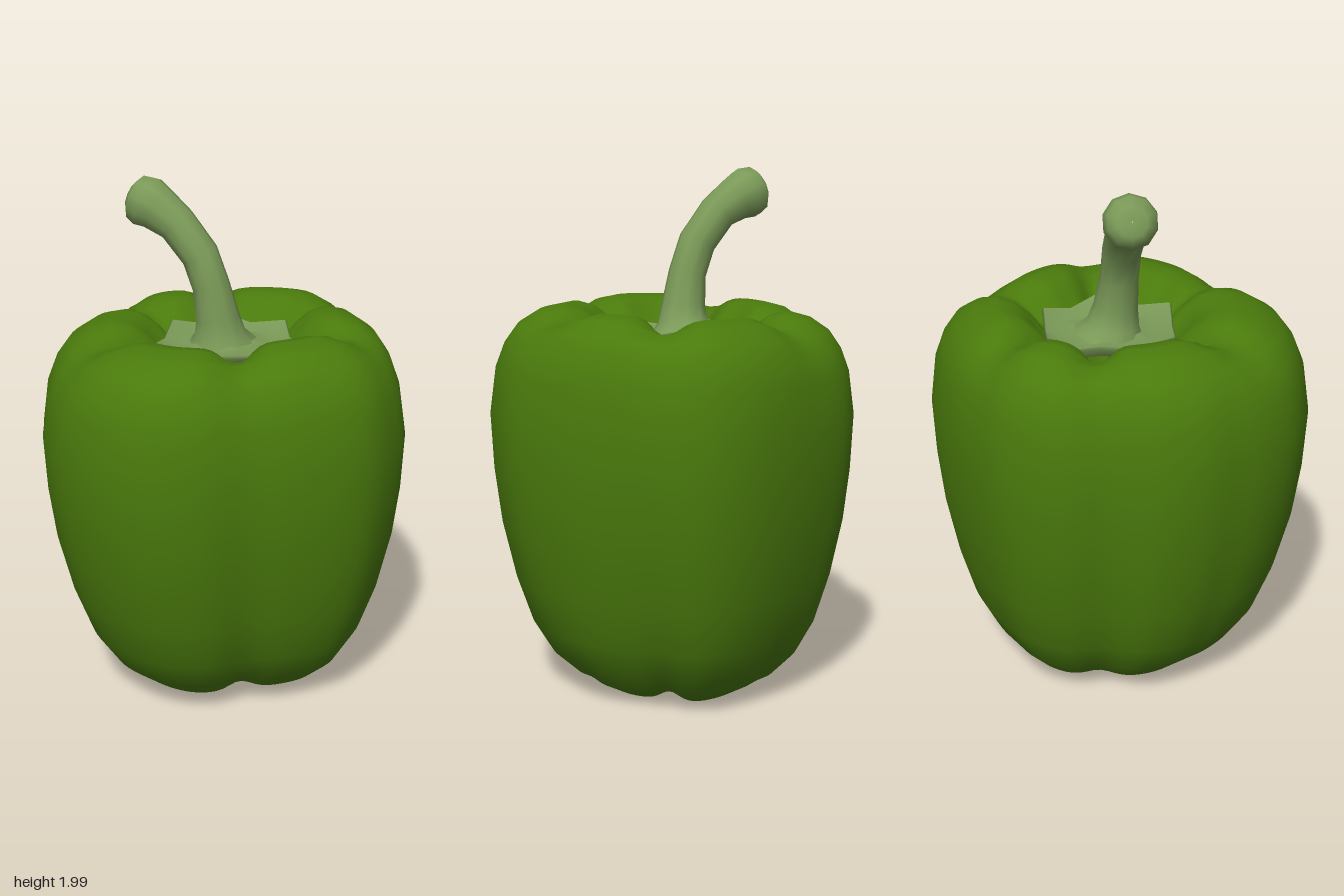
import * as THREE from 'three';

const SEGMENTS = 90;

// Closed rings of points, joined bottom to top into one smooth skin
function loft(rings) {
  const n = rings[0].length, index = [];
  for (let i = 0; i < rings.length - 1; i++) {
    for (let j = 0; j < n; j++) {
      const a = i * n + j, b = i * n + (j + 1) % n;
      index.push(a, a + n, b, b, a + n, b + n);
    }
  }
  const g = new THREE.BufferGeometry().setFromPoints(rings.flat());
  g.setIndex(index);
  g.computeVertexNormals();
  return g;
}

// Calyx corners (x, z); each one points into a groove of the fruit
const CENTRE = [-0.04, -0.05];
const CORNERS = [[0.23, -0.13], [0.18, 0.17], [-0.16, 0.23], [-0.3, -0.03], [-0.24, -0.24], [0.05, -0.31]];
const GROOVES = CORNERS.map(([x, z]) => Math.atan2(z - CENTRE[1], x - CENTRE[0]));
const BOTTOM_WEIGHT = [0.5, 0.9, 0.15, 0.4, 0.15, 0.8];

// Strength of the nearest groove at an angle
function groove(angle, top) {
  let best = 0;
  GROOVES.forEach((g, k) => {
    const d = Math.atan2(Math.sin(angle - g), Math.cos(angle - g));
    const weight = top ? 1 : BOTTOM_WEIGHT[k];
    best = Math.max(best, weight * Math.exp(-((d / 0.18) ** 2)));
  });
  return best;
}

// Widest outline of the fruit (x, z), clockwise seen from above
const OUTLINE = [
  [0.69, 0], [0.65, 0.12], [0.55, 0.28], [0.44, 0.41], [0.34, 0.56], [0.18, 0.68], [-0.02, 0.72],
  [-0.23, 0.69], [-0.39, 0.6], [-0.49, 0.5], [-0.58, 0.4], [-0.65, 0.24], [-0.65, 0.06], [-0.69, -0.12],
  [-0.63, -0.33], [-0.52, -0.46], [-0.32, -0.62], [-0.17, -0.7], [-0.03, -0.73], [0.1, -0.71],
  [0.31, -0.58], [0.49, -0.45], [0.64, -0.27], [0.68, -0.14],
];

// Rings of the fruit: scale, height, groove depth inward, groove shift in y
const PROFILE = [
  [0.005, 0.1, 0, 0], [0.1, 0.075, 0, 0.02], [0.2, 0.03, 0, 0.05], [0.32, 0.008, 0.02, 0.05],
  [0.44, 0.018, 0.06, 0.04], [0.56, 0.06, 0.09, 0.02], [0.69, 0.145, 0.07, 0], [0.795, 0.27, 0.035, 0],
  [0.88, 0.45, 0.015, 0], [0.95, 0.67, 0.005, 0], [0.985, 0.87, 0, 0], [1, 1.08, 0, 0],
  [0.968, 1.25, 0.01, 0], [0.92, 1.34, 0.025, 0], [0.85, 1.41, 0.045, -0.01], [0.74, 1.46, 0.05, -0.035],
  [0.62, 1.48, 0.03, -0.065], [0.52, 1.468, 0, -0.085], [0.43, 1.425, 0, -0.085], [0.36, 1.36, 0, -0.04],
  [0.25, 1.31, 0, 0], [0.005, 1.3, 0, 0],
];

function fruitGeometry() {
  const curve = new THREE.CatmullRomCurve3(OUTLINE.map(([x, z]) => new THREE.Vector3(x, 0, z)), true);
  const outline = curve.getSpacedPoints(SEGMENTS).slice(0, SEGMENTS);
  return loft(PROFILE.map(([s, y, depth, dy]) => {
    const top = y > 1;
    const cx = top ? CENTRE[0] : -0.03, cz = top ? CENTRE[1] : -0.09;
    // the shoulders rise gently towards +x
    const tilt = top ? 0.03 * (y - 1) / 0.48 : 0;
    return outline.map((p) => {
      const k = groove(Math.atan2(p.z - CENTRE[1], p.x - CENTRE[0]), top);
      const r = s * (1 - depth * k);
      const x = p.x * r + cx * (1 - s);
      return new THREE.Vector3(x, y + dy * k + tilt * x, p.z * r + cz * (1 - s));
    });
  }));
}

// Leafy six-cornered collar, cupped at the corners and rising to the stem
function calyxGeometry() {
  const edge = [];
  CORNERS.forEach(([x, z], i) => {
    const [nx, nz] = CORNERS[(i + 1) % CORNERS.length];
    edge.push([x, z, 0.03], [(x + nx) / 2, (z + nz) / 2, 0]);
  });
  const ring = (s, y, lift) => edge.map(([x, z, up]) => new THREE.Vector3(
    CENTRE[0] + (x - CENTRE[0]) * s, y + up * lift, CENTRE[1] + (z - CENTRE[1]) * s));
  return loft([ring(0.9, 1.34, 1), ring(1, 1.375, 1), ring(0.97, 1.383, 1),
    ring(0.7, 1.36, 0.4), ring(0.4, 1.385, 0), ring(0.01, 1.42, 0)]);
}

// Stem stations: x, y, z, radius
const STEM = [
  [-0.05, 1.36, -0.03, 0.14], [-0.05, 1.41, -0.02, 0.1], [-0.052, 1.48, -0.01, 0.084],
  [-0.07, 1.6, 0.005, 0.072], [-0.11, 1.715, 0.02, 0.072], [-0.195, 1.825, 0.05, 0.074],
  [-0.27, 1.875, 0.07, 0.087], [-0.315, 1.897, 0.08, 0.1], [-0.355, 1.912, 0.092, 0.088],
  [-0.375, 1.918, 0.097, 0.055], [-0.372, 1.917, 0.096, 0.002],
];

function stemGeometry() {
  const pts = STEM.map(([x, y, z]) => new THREE.Vector3(x, y, z));
  const side = new THREE.Vector3(0.3, 0, 1).normalize();
  const last = pts.length - 1;
  return loft(STEM.map((station, i) => {
    const lo = Math.max(0, Math.min(i, last - 2) - 1), hi = Math.min(i + 1, last - 1);
    const dir = pts[hi].clone().sub(pts[lo]).normalize();
    const u = new THREE.Vector3().crossVectors(dir, side).normalize();
    const v = new THREE.Vector3().crossVectors(u, dir).normalize();
    return Array.from({ length: 10 }, (_, j) => {
      const a = (j / 10) * Math.PI * 2;
      return pts[i].clone().addScaledVector(u, Math.cos(a) * station[3]).addScaledVector(v, Math.sin(a) * station[3]);
    });
  }));
}

export function createModel() {
  const model = new THREE.Group();
  const green = new THREE.MeshStandardMaterial({ color: 0x4a7a0c });
  const pale = new THREE.MeshStandardMaterial({ color: 0x7b9a58 });
  const add = (name, geometry, material) => {
    const mesh = new THREE.Mesh(geometry, material);
    mesh.name = name;
    model.add(mesh);
  };
  add('fruit', fruitGeometry(), green);
  add('calyx', calyxGeometry(), pale);
  add('stem', stemGeometry(), pale);
  return model;
}
